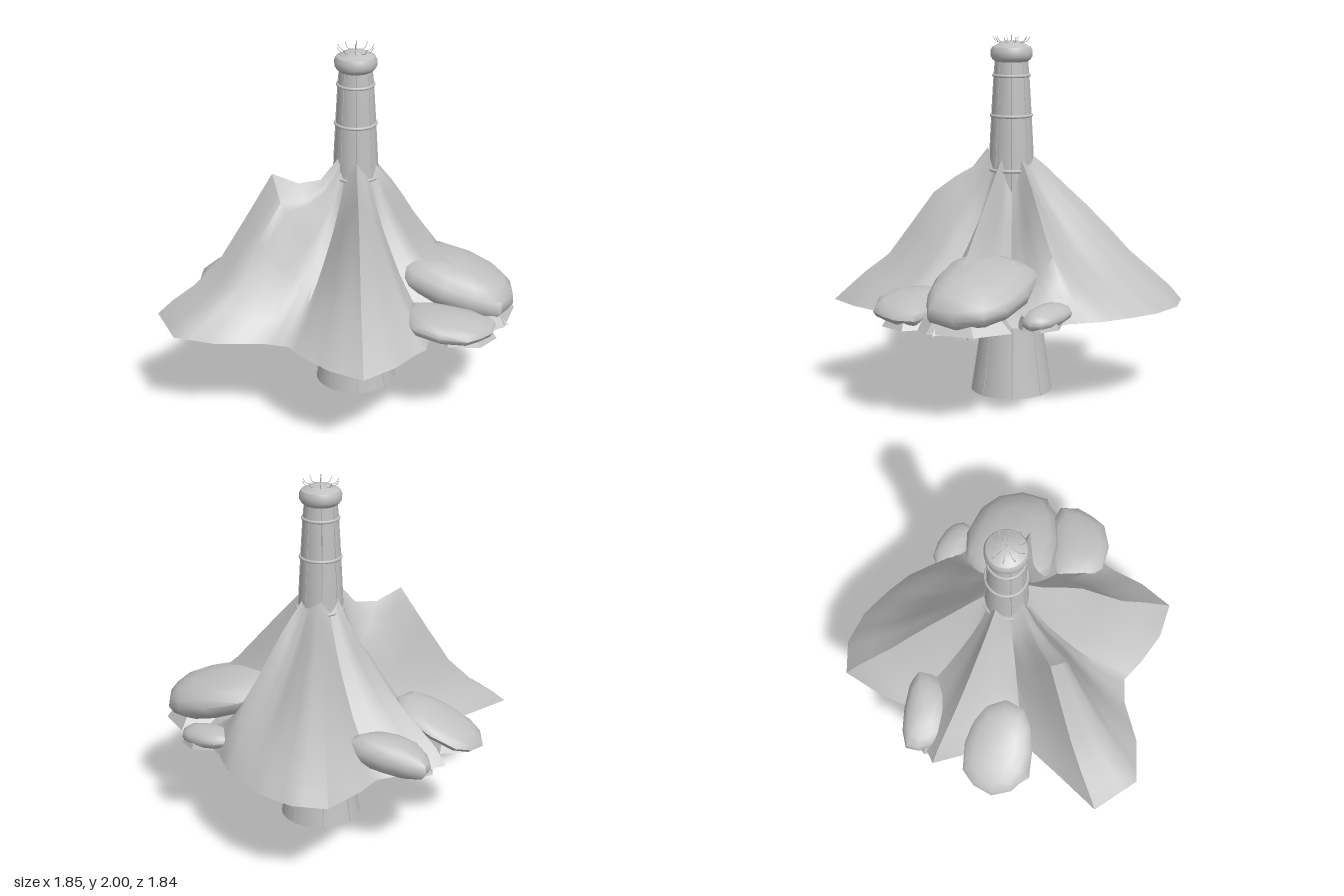
import * as THREE from 'three';
import { toCreasedNormals } from 'three/addons/utils/BufferGeometryUtils.js';

const BASE = 0.52;

// Slope heights from the tower outwards, at the fractions in STEPS
const STEPS = [0, 0.1, 0.22, 0.36, 0.5, 0.65, 0.8, 0.92, 1];
const RIDGES = {
  A: [1.37, 1.28, 1.22, 1.13, 0.96, 0.78, 0.68, 0.585, BASE],
  B: [1.38, 1.26, 1.25, 1.32, 1.09, 0.85, 0.7, 0.62, 0.55],
  C: [1.35, 1.23, 1.12, 1.0, 0.89, 0.79, 0.71, 0.64, 0.56],
  D: [1.34, 1.27, 1.17, 1.06, 0.94, 0.8, 0.69, 0.6, BASE],
  E: [1.33, 1.26, 1.18, 1.07, 0.95, 0.84, 0.73, 0.62, BASE],
  F: [1.34, 1.25, 1.14, 1.01, 0.88, 0.77, 0.67, 0.58, BASE],
};
const VALLEY = [1.29, 1.14, 1.0, 0.88, 0.77, 0.68, 0.6, 0.55, BASE];
const GULLY = [1.2, 0.98, 0.84, 0.74, 0.67, 0.62, 0.58, 0.55, BASE];

// Foot of the mountain: x, z, share of the ridge profile, ridge, valley profile
const OUTLINE = [
  [0.38, 0.92, 1, 'A'], [0.18, 0.89, 0.55, 'A'], [0, 0.8, 0.2, 'A'], [-0.12, 0.72, 0, 'A'],
  [-0.26, 0.74, 0.1, 'B'], [-0.48, 0.84, 0.35, 'B'], [-0.72, 0.87, 0.7, 'B'],
  [-0.92, 0.66, 1, 'B'], [-0.75, 0.42, 0.5, 'B'], [-0.6, 0.2, 0.15, 'B'],
  [-0.68, -0.02, 0.3, 'C'], [-0.74, -0.15, 0.6, 'C'],
  [-0.81, -0.29, 1, 'C'], [-0.68, -0.38, 0.4, 'C'], [-0.49, -0.5, 0, 'C'], [-0.45, -0.66, 0.35, 'D'],
  [-0.35, -0.89, 1, 'D'], [-0.16, -0.92, 0.75, 'D'], [0.03, -0.86, 0.5, 'D'],
  [0.19, -0.75, 0.35, 'E'], [0.32, -0.64, 0.5, 'E'],
  [0.42, -0.5, 1, 'E'], [0.55, -0.4, 0.3, 'E', GULLY], [0.62, -0.25, 0, 'E', GULLY], [0.75, -0.1, 0.3, 'F', GULLY],
  [0.92, 0.07, 1, 'F'], [0.7, 0.18, 0.2, 'F'], [0.55, 0.3, 0, 'F'],
  [0.58, 0.5, 0.2, 'A'], [0.55, 0.56, 0.35, 'A'], [0.49, 0.74, 0.6, 'A'],
];

function mountainGeometry() {
  const pos = [], index = [], n = OUTLINE.length, sub = 3, m = STEPS.length;
  const spoke = ([x, z, w, id, valley = VALLEY]) => {
    // The peaked ridge leaves the tower a little nearer the front
    const turn = id === 'B' ? 0.35 * w : 0;
    const a = Math.atan2(z, x) - turn;
    return STEPS.map((t, j) => new THREE.Vector3(
      THREE.MathUtils.lerp(0.115 * Math.cos(a), x, t),
      THREE.MathUtils.lerp(valley[j], RIDGES[id][j], w),
      THREE.MathUtils.lerp(0.115 * Math.sin(a), z, t)));
  };
  for (let i = 0; i < n; i++) {
    const a = spoke(OUTLINE[i]), b = spoke(OUTLINE[(i + 1) % n]);
    for (let s = 0; s < sub; s++) {
      for (let j = 0; j < m; j++) pos.push(...a[j].clone().lerp(b[j], s / sub).toArray());
    }
  }
  const rows = n * sub;
  for (let i = 0; i < rows; i++) {
    const p = i * m, q = ((i + 1) % rows) * m;
    for (let j = 0; j < m - 1; j++) {
      index.push(p + j, q + j, p + j + 1, q + j, q + j + 1, p + j + 1);
    }
  }
  const g = new THREE.BufferGeometry();
  g.setAttribute('position', new THREE.Float32BufferAttribute(pos, 3));
  g.setIndex(index);
  return toCreasedNormals(g, 0.8);
}

// Blocky, lumpy boulder with a flattened underside
function boulderGeometry(rx, ry, rz, seed) {
  const g = new THREE.SphereGeometry(1, 12, 8);
  const p = g.attributes.position, v = new THREE.Vector3();
  const square = (c) => Math.sign(c) * Math.abs(c) ** 0.85;
  for (let i = 0; i < p.count; i++) {
    v.fromBufferAttribute(p, i);
    const k = 0.97 + 0.07 * Math.sin(3 * v.x + seed) * Math.cos(2.5 * v.z - seed) + 0.05 * Math.sin(4 * v.z + 2 * seed);
    p.setXYZ(i, square(v.x) * k * rx, Math.max(v.y * k, -0.8) * ry, square(v.z) * k * rz);
  }
  return toCreasedNormals(g, 0.9);
}

export function createModel() {
  const root = new THREE.Group();
  const stone = new THREE.MeshStandardMaterial({ color: 0xc0c0c0, side: THREE.DoubleSide });
  stone.name = 'stoneGrey';
  const add = (name, geo, parent = root) => {
    const mesh = new THREE.Mesh(geo, stone);
    mesh.name = name;
    parent.add(mesh);
    return mesh;
  };
  const group = (name) => {
    const g = new THREE.Group();
    g.name = name;
    root.add(g);
    return g;
  };
  const rod = (name, a, b, r, parent) => {
    const d = b.clone().sub(a);
    const mesh = add(name, new THREE.CylinderGeometry(r, r, d.length(), 6), parent);
    mesh.position.copy(a).add(b).multiplyScalar(0.5);
    mesh.quaternion.setFromUnitVectors(new THREE.Vector3(0, 1, 0), d.normalize());
  };

  // Tapering tower with a rounded head
  const tower = group('tower');
  const shaft = [[0.228, 0], [0.208, 0.12], [0.185, 0.28], [0.165, 0.42], [0.153, 0.52],
    [0.139, 0.8], [0.128, 1.15], [0.12, 1.35], [0.109, 1.56], [0.096, 1.78], [0.089, 1.86]];
  const head = [[0.089, 1.855], [0.105, 1.868], [0.115, 1.885], [0.116, 1.915], [0.106, 1.936],
    [0.088, 1.944], [0.065, 1.958], [0.035, 1.967], [0, 1.97]];
  const vec = ([x, y]) => new THREE.Vector2(x, y);
  add('towerShaft', toCreasedNormals(new THREE.LatheGeometry([[0, 0], ...shaft].map(vec), 40), 0.6), tower);
  add('towerHead', toCreasedNormals(new THREE.LatheGeometry(head.map(vec), 40), 0.6), tower);

  // Bands around the shaft
  for (const [y, r] of [[0.485, 0.154], [1.262, 0.129], [1.56, 0.111], [1.78, 0.098]]) {
    const band = add('towerBand', new THREE.TorusGeometry(r, 0.009, 8, 40), tower);
    band.rotation.x = Math.PI / 2;
    band.position.y = y;
  }

  // Eight vertical ribs
  for (let i = 0; i < 8; i++) {
    const a = (i + 0.5) * Math.PI / 4;
    const path = new THREE.CatmullRomCurve3(shaft.map(([r, y]) =>
      new THREE.Vector3(Math.sin(a) * r, y, Math.cos(a) * r)));
    add('towerRib', new THREE.TubeGeometry(path, 24, 0.003, 5), tower);
  }

  // Crown of thin prongs and a centre spike
  for (let i = 0; i < 10; i++) {
    const a = (i + 0.5) * Math.PI / 5, s = Math.sin(a), c = Math.cos(a);
    const path = new THREE.CatmullRomCurve3([[0.03, 1.968], [0.062, 1.96], [0.085, 1.966], [0.102, 1.99]]
      .map(([r, y]) => new THREE.Vector3(s * r, y, c * r)));
    add('crownProng', new THREE.TubeGeometry(path, 8, 0.002, 5), tower);
  }
  rod('crownSpike', new THREE.Vector3(0, 1.96, 0), new THREE.Vector3(0, 2, 0), 0.003, tower);

  // Ridged mountain skirt and its flat underside
  add('mountainSlopes', mountainGeometry());
  const floor = new THREE.Shape(OUTLINE.map(([x, z]) => {
    const k = Math.min(1, 0.72 / Math.hypot(x, z));
    return new THREE.Vector2(x * k, z * k);
  }));
  const floorMesh = add('mountainUnderside', new THREE.ShapeGeometry(floor));
  floorMesh.rotation.x = Math.PI / 2;
  floorMesh.position.y = BASE + 0.003;

  // Boulders: centre, radii, tilt, turn
  const boulders = group('boulders');
  [
    [0.57, 0.695, -0.05, 0.36, 0.13, 0.28, -0.28, 0],
    [0.64, 0.6, 0.32, 0.26, 0.07, 0.18, -0.1, 0.1],
    [0.515, 0.575, -0.41, 0.18, 0.06, 0.1, -0.1, -0.2],
    [-0.53, 0.62, -0.38, 0.24, 0.1, 0.13, 0.2, 0],
    [-0.68, 0.635, 0.07, 0.28, 0.065, 0.21, 0.4, 0],
  ].forEach(([x, y, z, rx, ry, rz, tilt, turn], i) => {
    const b = add('boulder', boulderGeometry(rx, ry, rz, i * 1.7), boulders);
    b.position.set(x, y, z);
    b.rotation.set(0, turn, tilt);
  });

  // Angular ledges under the boulders: x, z, x radius, z radius, turn
  for (const [x, z, rx, rz, turn] of [[0.7, 0, 0.22, 0.3, 0.3], [0.7, 0.27, 0.2, 0.17, 0.8],
    [0.55, -0.38, 0.13, 0.12, 0.2], [-0.72, 0.09, 0.19, 0.19, 0.5], [-0.6, -0.32, 0.16, 0.14, 0]]) {
    const g = new THREE.CylinderGeometry(0.8, 1, 0.06, 7).toNonIndexed();
    g.rotateY(turn).scale(rx, 1, rz).computeVertexNormals();
    add('ledge', g, boulders).position.set(x, BASE + 0.034, z);
  }

  // Tapered lattice boom under the mountain
  const boom = group('latticeBoom');
  const bays = 8, P = (x, y, z) => new THREE.Vector3(x, y, z);
  const low = (t) => P(0.14 + 0.48 * t, 0.495 - 0.06 * t, 0);
  const top = (t, z) => P(0.14 + 0.48 * t, 0.514, z);
  rod('boomLowerChord', low(0), low(1), 0.005, boom);
  for (const z of [-0.01, 0.01]) {
    rod('boomUpperChord', top(0, z), top(1, z), 0.003, boom);
    for (let i = 0; i < bays; i++) {
      rod('boomDiagonal', low(i / bays), top((i + 1) / bays, z), 0.002, boom);
      rod('boomPost', low((i + 1) / bays), top((i + 1) / bays, z), 0.002, boom);
    }
  }
  return root;
}
